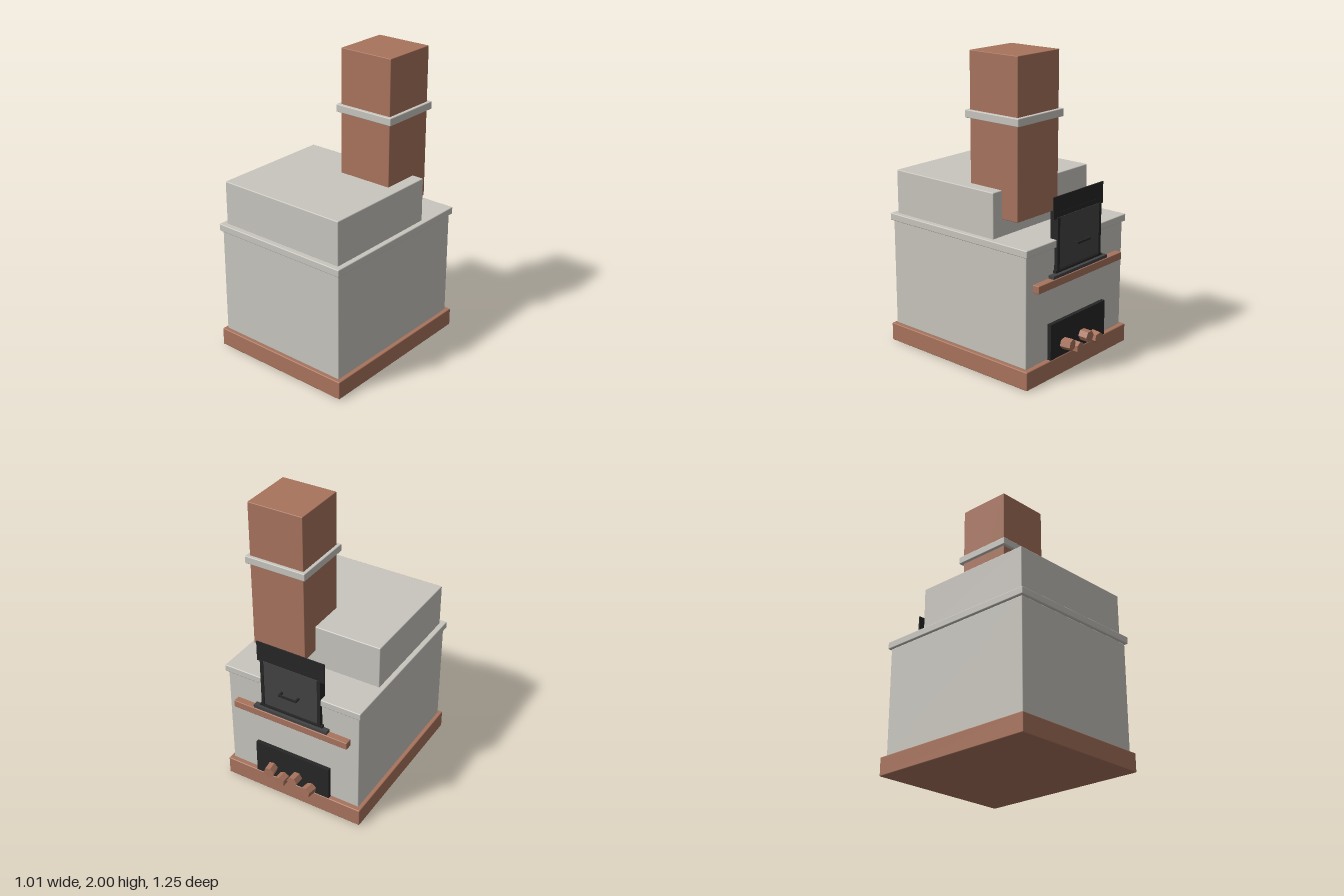
import * as THREE from 'three';
import { RoundedBoxGeometry } from 'three/addons/geometries/RoundedBoxGeometry.js';

const mat = (name, color) => {
  const m = new THREE.MeshStandardMaterial({ color });
  m.name = name;
  return m;
};

export function createModel() {
  const plaster = mat('plaster', 0xc8c5be);
  const brick = mat('brick', 0xa8735d);
  const iron = mat('black iron', 0x262626);
  const steel = mat('dark steel', 0x424344);
  const group = new THREE.Group();
  group.name = 'masonryStove';

  // Box given by its limits on each axis; a radius softens the edges
  const box = (name, material, [x0, x1], [y0, y1], [z0, z1], radius = 0) => {
    const size = [x1 - x0, y1 - y0, z1 - z0];
    const geometry = radius
      ? new RoundedBoxGeometry(...size, 2, radius)
      : new THREE.BoxGeometry(...size);
    const mesh = new THREE.Mesh(geometry, material);
    mesh.name = name;
    mesh.position.set((x0 + x1) / 2, (y0 + y1) / 2, (z0 + z1) / 2);
    group.add(mesh);
    return mesh;
  };

  // Masonry
  box('base', brick, [-0.505, 0.505], [0, 0.122], [-0.56, 0.623], 0.006);
  box('body', plaster, [-0.48, 0.48], [0.122, 0.842], [-0.53, 0.6], 0.006);
  box('topSlab', plaster, [-0.495, 0.495], [0.842, 0.89], [-0.547, 0.617], 0.006);
  box('upperBlock', plaster, [-0.46, 0.46], [0.885, 1.18], [-0.253, 0.58], 0.006);

  // Chimney
  box('chimney', brick, [0, 0.381], [1.0, 2.0], [-0.377, 0.003], 0.004);
  box('chimneyBand', plaster, [-0.022, 0.403], [1.59, 1.64], [-0.4, 0.025], 0.005);

  // Mantel beam with its hearth plate
  box('mantel', brick, [-0.418, 0.418], [0.605, 0.655], [-0.577, -0.525], 0.004);
  box('mantelPlate', steel, [-0.27, 0.27], [0.655, 0.675], [-0.57, -0.525]);

  // Oven door: box, steel panel, raised frame and top plate
  box('ovenBox', iron, [-0.217, 0.217], [0.685, 1.06], [-0.547, -0.497]);
  box('ovenPanel', steel, [-0.2, 0.2], [0.7, 1.03], [-0.55, -0.546]);
  for (const s of [-1, 1]) {
    const edges = [s * 0.217, s * 0.195].sort((a, b) => a - b);
    box('doorSideFrame', iron, edges, [0.685, 1.03], [-0.555, -0.54]);
  }
  box('doorSill', iron, [-0.23, 0.23], [0.68, 0.695], [-0.555, -0.53]);
  box('topPlate', iron, [-0.244, 0.244], [1.02, 1.16], [-0.545, -0.537]);

  // Door handle
  box('handleBar', iron, [-0.066, 0.066], [0.835, 0.847], [-0.592, -0.582]);
  for (const x of [-0.06, 0.06]) {
    box('handleMount', iron, [x - 0.006, x + 0.006], [0.835, 0.847], [-0.585, -0.545]);
  }

  // Firewood opening with hexagonal logs
  box('woodOpening', iron, [-0.275, 0.275], [0.122, 0.358], [-0.557, -0.525]);
  const logGeometry = new THREE.CylinderGeometry(0.038, 0.038, 0.09, 6).toNonIndexed();
  logGeometry.computeVertexNormals();
  logGeometry.rotateX(Math.PI / 2);
  const logs = [
    [-0.143, 0.157, -0.14, 0.2],
    [-0.038, 0.2, -0.02, 0.5],
    [0.06, 0.157, 0.02, 0],
    [0.146, 0.2, 0.14, 0.3],
  ];
  for (const [x, y, yaw, roll] of logs) {
    const log = new THREE.Mesh(logGeometry, brick);
    log.name = 'log';
    log.position.set(x, y, -0.577);
    log.rotation.set(0, yaw, roll);
    group.add(log);
  }

  return group;
}
